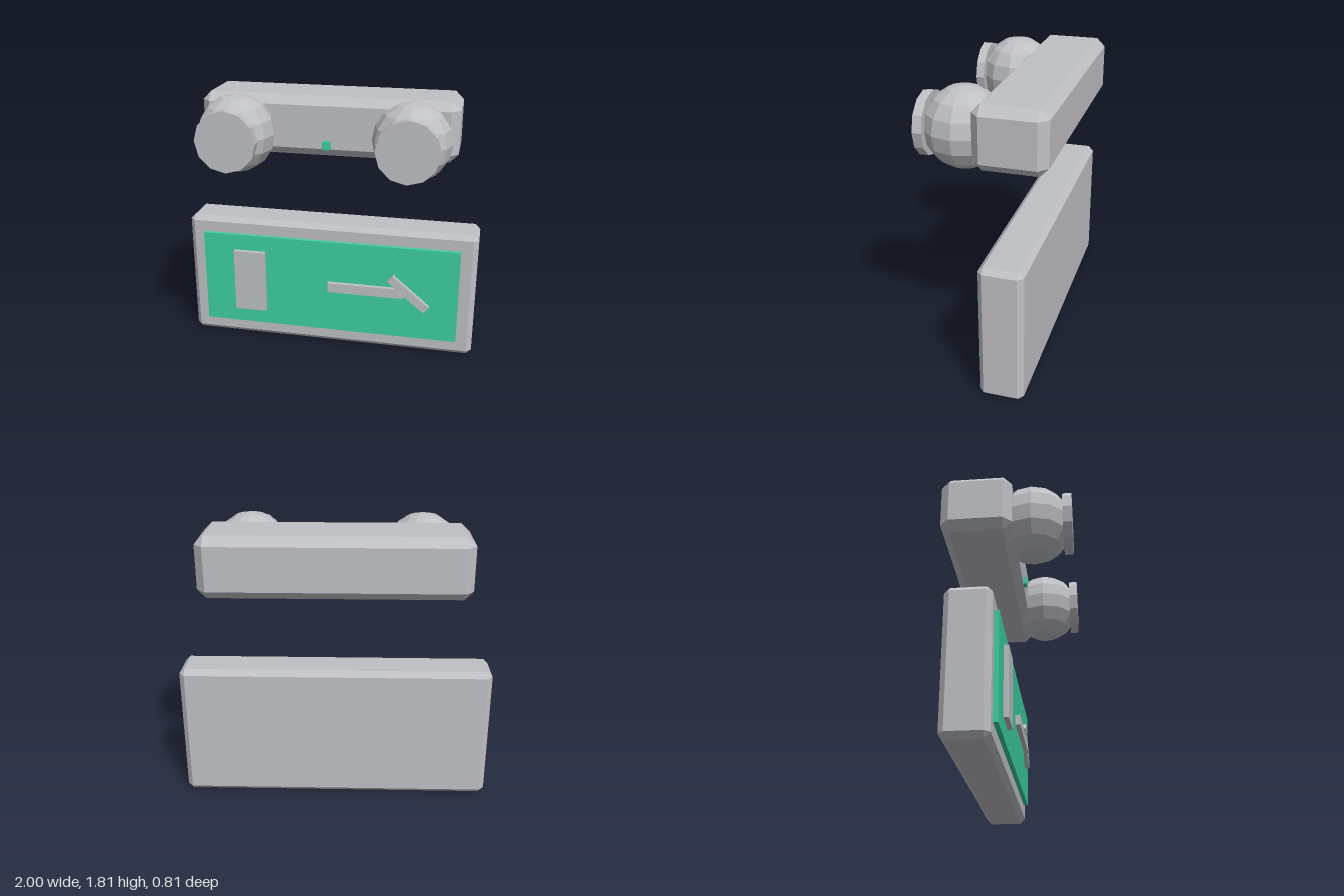
import * as THREE from 'three';
import { ConvexGeometry } from 'three/addons/geometries/ConvexGeometry.js';

// Box with every edge cut by a flat chamfer c
function chamferBox(w, h, d, c) {
  const points = [];
  for (const sx of [-1, 1]) for (const sy of [-1, 1]) for (const sz of [-1, 1]) {
    const x = w / 2, y = h / 2, z = d / 2;
    points.push(
      new THREE.Vector3(sx * x, sy * (y - c), sz * (z - c)),
      new THREE.Vector3(sx * (x - c), sy * y, sz * (z - c)),
      new THREE.Vector3(sx * (x - c), sy * (y - c), sz * z));
  }
  return new ConvexGeometry(points);
}

export function createModel() {
  const model = new THREE.Group();
  model.name = 'emergencyExitLight';
  const grey = new THREE.MeshStandardMaterial({ name: 'lightGrey', color: 0xbfc0c4, flatShading: true });
  const green = new THREE.MeshStandardMaterial({ name: 'signGreen', color: 0x3dcea3, flatShading: true });

  const add = (name, geometry, material, x, y, z, parent = model) => {
    const mesh = new THREE.Mesh(geometry, material);
    mesh.name = name;
    mesh.position.set(x, y, z);
    parent.add(mesh);
    return mesh;
  };

  // Exit sign: housing, green panel and raised symbols
  const sign = new THREE.Group();
  sign.name = 'exitSign';
  model.add(sign);
  add('signHousing', chamferBox(2, 0.89, 0.277, 0.034), grey, 0, 0.445, -0.1815, sign);
  add('signPanel', new THREE.BoxGeometry(1.78, 0.665, 0.04), green, 0, 0.447, -0.035, sign);
  add('doorSymbol', new THREE.BoxGeometry(0.222, 0.445, 0.03), grey, -0.557, 0.447, 0, sign);
  add('arrowShaft', new THREE.BoxGeometry(0.526, 0.067, 0.03), grey, 0.263, 0.454, 0, sign);
  const head = add('arrowHead', new THREE.BoxGeometry(0.328, 0.058, 0.03), grey, 0.555, 0.455, 0, sign);
  head.rotation.z = -0.7;

  // Lamp unit: battery housing and indicator
  const lamps = new THREE.Group();
  lamps.name = 'lampUnit';
  model.add(lamps);
  add('lampHousing', chamferBox(1.664, 0.388, 0.444, 0.055), grey, 0, 1.587, -0.182, lamps);
  add('indicator', new THREE.BoxGeometry(0.05, 0.055, 0.04), green, 0, 1.476, 0.044, lamps);

  // Two faceted lamp heads with lens discs
  for (const [side, s] of [['left', 1], ['right', -1]]) {
    add(side + 'LampHead', new THREE.SphereGeometry(0.248, 12, 8), grey, s * 0.556, 1.558, 0.155, lamps);
    const lens = new THREE.CylinderGeometry(0.194, 0.194, 0.057, 12).rotateX(Math.PI / 2);
    add(side + 'LampLens', lens, grey, s * 0.556, 1.558, 0.376, lamps);
  }
  return model;
}
